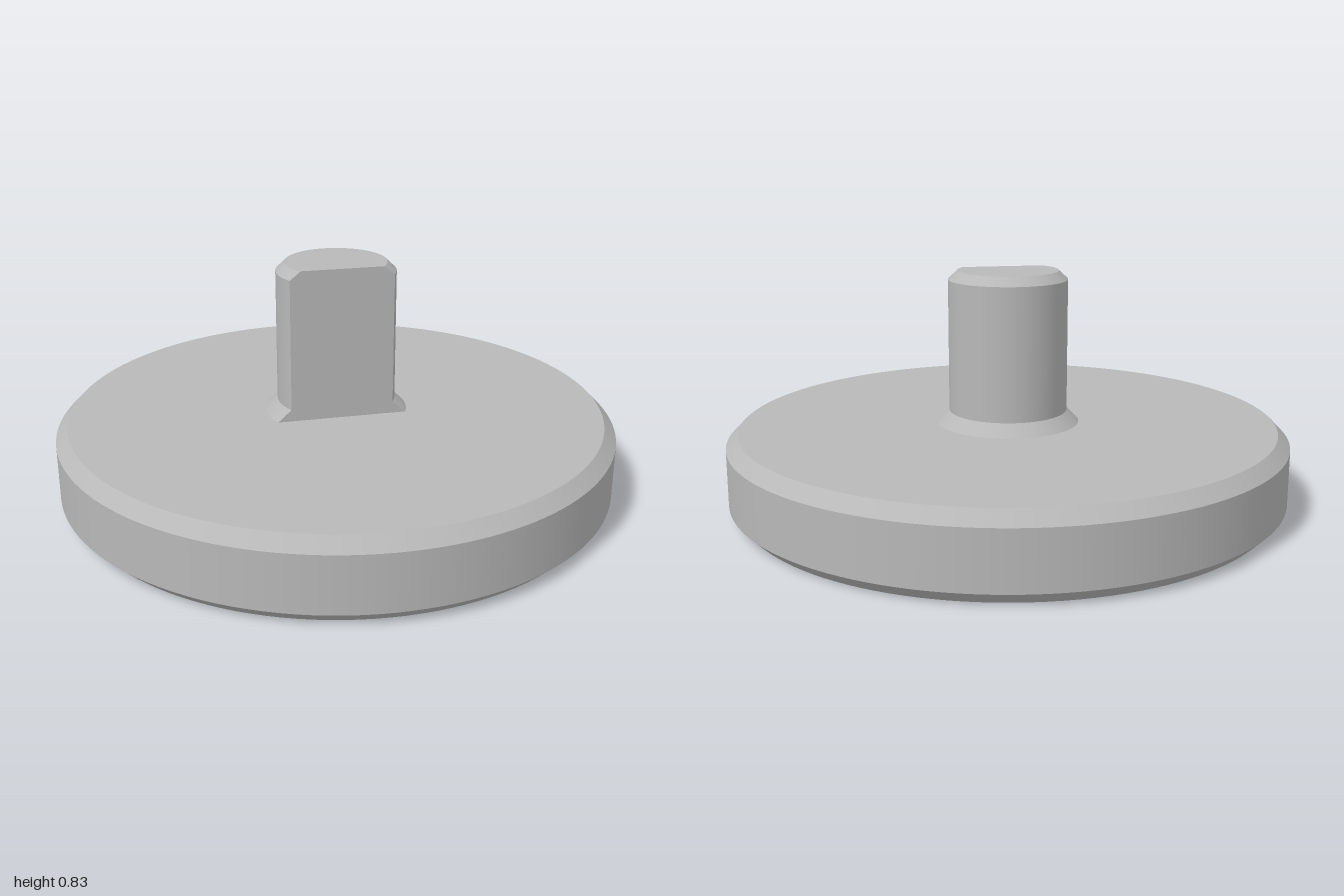
import * as THREE from 'three';

const FLAT_Z = 0.105; // plane that cuts the shaft into a D section
const BASE_TOP = 0.286;

// [radius, height] from bottom to top
const BASE_PROFILE = [[0.957, 0], [1, 0.043], [1, 0.242], [0.957, BASE_TOP]];
const SHAFT_PROFILE = [[0.255, BASE_TOP], [0.212, 0.329], [0.212, 0.801], [0.18, 0.832]];

// Half-angle of the round part of the D section, measured from the back
const halfAngle = (r) => Math.PI - Math.acos(FLAT_Z / r);

// Curved band between two D sections
function shaftBand([r0, y0], [r1, y1]) {
  const geo = new THREE.PlaneGeometry(1, 1, 72, 4);
  const p = geo.attributes.position;
  for (let i = 0; i < p.count; i++) {
    const v = p.getY(i) + 0.5;
    const r = r0 + (r1 - r0) * v;
    const a = 2 * p.getX(i) * halfAngle(r);
    p.setXYZ(i, -r * Math.sin(a), y0 + (y1 - y0) * v, -r * Math.cos(a));
  }
  geo.computeVertexNormals();
  return geo;
}

// Flat front outline, following the section width at every height
function flatFace() {
  const right = [];
  for (let i = 0; i < 3; i++) {
    const [r0, y0] = SHAFT_PROFILE[i];
    const [r1, y1] = SHAFT_PROFILE[i + 1];
    for (let k = i ? 1 : 0; k <= 4; k++) {
      const r = r0 + (r1 - r0) * k / 4;
      right.push(new THREE.Vector2(Math.sqrt(r * r - FLAT_Z * FLAT_Z), y0 + (y1 - y0) * k / 4));
    }
  }
  const left = right.map((q) => new THREE.Vector2(-q.x, q.y)).reverse();
  return new THREE.ShapeGeometry(new THREE.Shape([...right, ...left])).translate(0, 0, FLAT_Z);
}

// D-shaped top of the shaft
function shaftCap() {
  const [r, y] = SHAFT_PROFILE[3];
  const points = [];
  for (let i = 0; i <= 72; i++) {
    const a = (1 - i / 36) * halfAngle(r);
    points.push(new THREE.Vector2(r * Math.sin(a), r * Math.cos(a)));
  }
  return new THREE.ShapeGeometry(new THREE.Shape(points)).rotateX(-Math.PI / 2).translate(0, y, 0);
}

export function createModel() {
  const model = new THREE.Group();
  const grey = new THREE.MeshStandardMaterial({ color: 0xb8b8b8 });
  grey.name = 'grey';

  const addGroup = (name) => {
    const group = new THREE.Group();
    group.name = name;
    model.add(group);
    return group;
  };
  const add = (group, name, geometry) => {
    const mesh = new THREE.Mesh(geometry, grey);
    mesh.name = name;
    group.add(mesh);
  };

  // Round base with chamfered rims
  const base = addGroup('base');
  ['lowerChamfer', 'rim', 'upperChamfer'].forEach((name, i) => {
    const [r0, y0] = BASE_PROFILE[i];
    const [r1, y1] = BASE_PROFILE[i + 1];
    add(base, name, new THREE.CylinderGeometry(r1, r0, y1 - y0, 128, 1, true).translate(0, (y0 + y1) / 2, 0));
  });
  // Same starting angle as the cylinders, so the edges meet
  const disc = () => new THREE.CircleGeometry(0.957, 128);
  add(base, 'baseTop', disc().rotateX(-Math.PI / 2).translate(0, BASE_TOP, 0));
  add(base, 'baseBottom', disc().rotateX(Math.PI / 2));

  // D-shaped shaft with a flared foot and chamfered tip
  const shaft = addGroup('shaft');
  ['foot', 'shaftSide', 'tipChamfer'].forEach((name, i) => {
    add(shaft, name, shaftBand(SHAFT_PROFILE[i], SHAFT_PROFILE[i + 1]));
  });
  add(shaft, 'shaftFlat', flatFace());
  add(shaft, 'shaftTop', shaftCap());

  return model;
}
